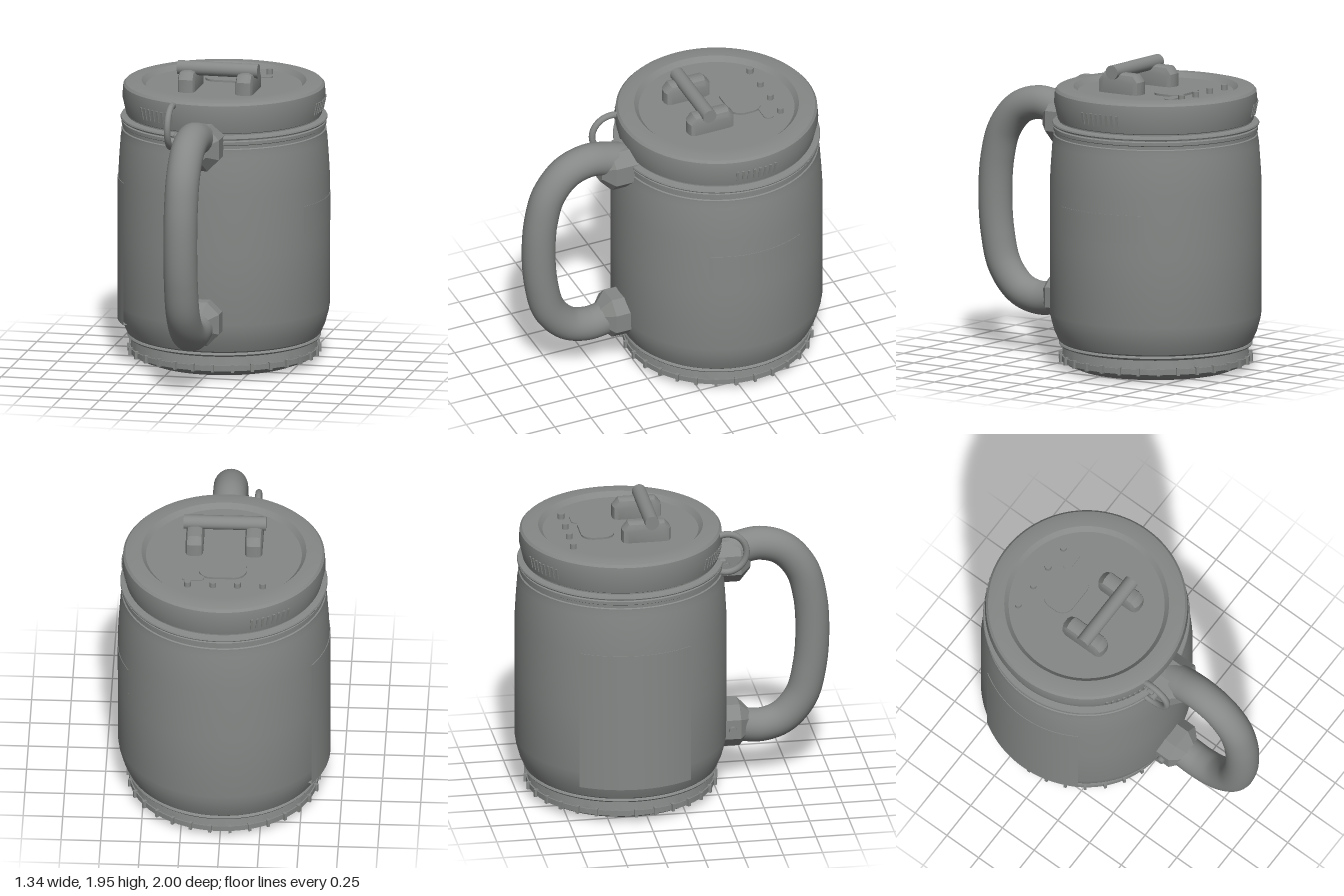
import * as THREE from 'three';
import { toCreasedNormals } from 'three/addons/utils/BufferGeometryUtils.js';
import { RoundedBoxGeometry } from 'three/addons/geometries/RoundedBoxGeometry.js';

export function createModel() {
  const model = new THREE.Group();
  const grey = new THREE.MeshStandardMaterial({ color: 0x858886, side: THREE.DoubleSide });
  grey.name = 'grey';

  const axis = new THREE.Group();
  axis.name = 'mug';
  axis.position.z = -0.335;
  model.add(axis);

  const add = (name, geometry, parent = model, x = 0, y = 0, z = 0) => {
    const mesh = new THREE.Mesh(geometry, grey);
    mesh.name = name;
    mesh.position.set(x, y, z);
    parent.add(mesh);
    return mesh;
  };
  const lathe = (name, points, start = 0, sweep = Math.PI * 2, segments = 96) =>
    add(name, toCreasedNormals(new THREE.LatheGeometry(
      points.map(([r, y]) => new THREE.Vector2(r, y)), segments, start, sweep), 0.4), axis);

  // Hollow foot, open underneath
  lathe('foot', [[0.44, 0.06], [0.44, 0.015], [0.455, 0], [0.49, 0], [0.565, 0.03], [0.59, 0.05],
    [0.598, 0.05], [0.598, 0.085], [0.59, 0.085], [0.58, 0.14], [0.605, 0.148], [0.612, 0.157],
    [0.605, 0.167], [0.6, 0.17]]);
  // Barrel
  lathe('body', [[0.6, 0.17], [0.613, 0.18], [0.64, 0.24], [0.662, 0.32], [0.664, 0.34], [0.668, 0.36],
    [0.668, 0.8], [0.668, 1.19], [0.662, 1.3], [0.652, 1.44], [0.646, 1.48], [0.646, 1.495], [0.638, 1.5],
    [0.638, 1.52], [0.646, 1.525], [0.646, 1.545], [0.634, 1.55], [0.634, 1.56]]);
  lathe('neckRing', [[0.634, 1.555], [0.65, 1.558], [0.654, 1.566], [0.65, 1.575], [0.61, 1.582], [0.61, 1.595]]);
  // Lid with a sunken top
  lathe('lid', [[0.61, 1.59], [0.618, 1.595], [0.642, 1.7], [0.636, 1.775], [0.622, 1.79], [0.58, 1.8],
    [0.52, 1.8], [0.492, 1.77], [0, 1.77]]);

  // Raised wall panels on both sides
  const panel = (name, r, y0, y1, mid, half) =>
    lathe(name, [[r - 0.06, y0], [r, y0], [r, y1], [r - 0.06, y1]],
      mid - half, half * 2, 20);
  panel('rightPanel', 0.672, 0.26, 1.18, Math.PI * 1.5, 0.56);
  panel('leftPanel', 0.671, 0.9, 1.08, Math.PI / 2, 0.49);

  // Lugs around the foot
  for (let i = 0; i < 30; i++) {
    const a = ((i + 0.5) / 30) * Math.PI * 2;
    const lug = add('footLug', new THREE.BoxGeometry(0.018, 0.05, 0.035), axis,
      Math.sin(a) * 0.596, 0.069, Math.cos(a) * 0.596);
    lug.rotation.y = a;
  }

  // Three groups of vent slats on the lid
  for (let g = 0; g < 3; g++) {
    for (let i = 0; i < 8; i++) {
      const a = Math.PI / 2 + g * Math.PI * 2 / 3 + (i - 3.5) * 0.058;
      const slat = add('ventSlat', new THREE.BoxGeometry(0.015, 0.08, 0.02), axis,
        Math.sin(a) * 0.63, 1.67, Math.cos(a) * 0.63);
      slat.rotation.set(0.2, a, 0, 'YXZ');
    }
  }

  // Large side handle
  const path = new THREE.CatmullRomCurve3([[0.3, 1.55], [0.42, 1.585], [0.55, 1.607], [0.7, 1.56],
    [0.82, 1.42], [0.875, 1.23], [0.892, 1], [0.875, 0.75], [0.82, 0.54], [0.7, 0.4], [0.56, 0.355],
    [0.42, 0.37], [0.3, 0.39]].map(([z, y]) => new THREE.Vector3(0, y, z)));
  add('handle', new THREE.TubeGeometry(path, 96, 0.107, 32));

  // Faceted mounts joining handle and barrel
  const w = 0.07, c = 0.035;
  const octagon = new THREE.Shape([[-w, -w + c], [-w + c, -w], [w - c, -w], [w, -w + c],
    [w, w - c], [w - c, w], [-w + c, w], [-w, w - c]].map(([x, y]) => new THREE.Vector2(x, y)));
  for (const [name, y] of [['upperMount', 1.52], ['lowerMount', 0.39]]) {
    add(name, toCreasedNormals(new THREE.ExtrudeGeometry(octagon, {
      depth: 0.19, bevelEnabled: true, bevelSize: 0.07, bevelThickness: 0.07, bevelSegments: 1,
    }), 0.3), model, 0, y, 0.225);
  }
  const bolt = add('mountBolt', new THREE.CylinderGeometry(0.025, 0.025, 0.04, 16), model, -0.145, 0.39, 0.36);
  bolt.rotation.z = Math.PI / 2;

  // Hanging ring beside the upper mount
  const ring = add('hangingRing', new THREE.TorusGeometry(0.13, 0.021, 12, 40), model, -0.19, 1.635, 0.31);
  ring.rotation.y = Math.PI / 2;
  const lug = add('ringLug', new THREE.CylinderGeometry(0.03, 0.03, 0.08, 16), model, -0.15, 1.53, 0.31);
  lug.rotation.z = Math.PI / 2;

  // Lid grip: bar on two bevelled posts
  const bar = add('lidBar', new THREE.CylinderGeometry(0.045, 0.045, 0.52, 32), model, 0, 1.905, -0.175);
  bar.rotation.z = Math.PI / 2;
  const side = new THREE.Shape([[-0.12, 0], [0.12, 0], [0.12, 0.09], [0.1, 0.115], [-0.1, 0.115],
    [-0.12, 0.09]].map(([x, y]) => new THREE.Vector2(x, y)));
  for (const s of [-1, 1]) {
    const post = add('lidPost', toCreasedNormals(new THREE.ExtrudeGeometry(side, {
      depth: 0.04, bevelEnabled: true, bevelSize: 0.035, bevelThickness: 0.035, bevelSegments: 2,
    }), 0.4), model, s * 0.187 - 0.02, 1.75, -0.205);
    post.rotation.y = Math.PI / 2;
  }

  // Small fittings on the lid top
  const pad = (name, x, z, width, depth, r, h) => {
    const a = width / 2, b = depth / 2;
    const s = new THREE.Shape();
    s.moveTo(-a + r, -b);
    s.absarc(a - r, -b + r, r, -Math.PI / 2, 0);
    s.absarc(a - r, b - r, r, 0, Math.PI / 2);
    s.absarc(-a + r, b - r, r, Math.PI / 2, Math.PI);
    s.absarc(-a + r, -b + r, r, Math.PI, Math.PI * 1.5);
    const mesh = add(name, toCreasedNormals(
      new THREE.ExtrudeGeometry(s, { depth: h, bevelEnabled: false }), 0.5), model, x, 1.765, z);
    mesh.rotation.x = -Math.PI / 2;
  };
  pad('lidPad', 0, -0.495, 0.3, 0.21, 0.08, 0.018);
  pad('lidTab', 0.185, -0.595, 0.14, 0.065, 0.03, 0.012);
  for (const x of [-0.26, -0.1, 0.055, 0.215]) {
    add('lidButton', new THREE.CylinderGeometry(0.021, 0.021, 0.04, 20), model, x, 1.785, -0.68);
  }
  add('lidLatch', new RoundedBoxGeometry(0.06, 0.05, 0.05, 2, 0.012), model, -0.15, 1.56, 0.29);

  return model;
}
